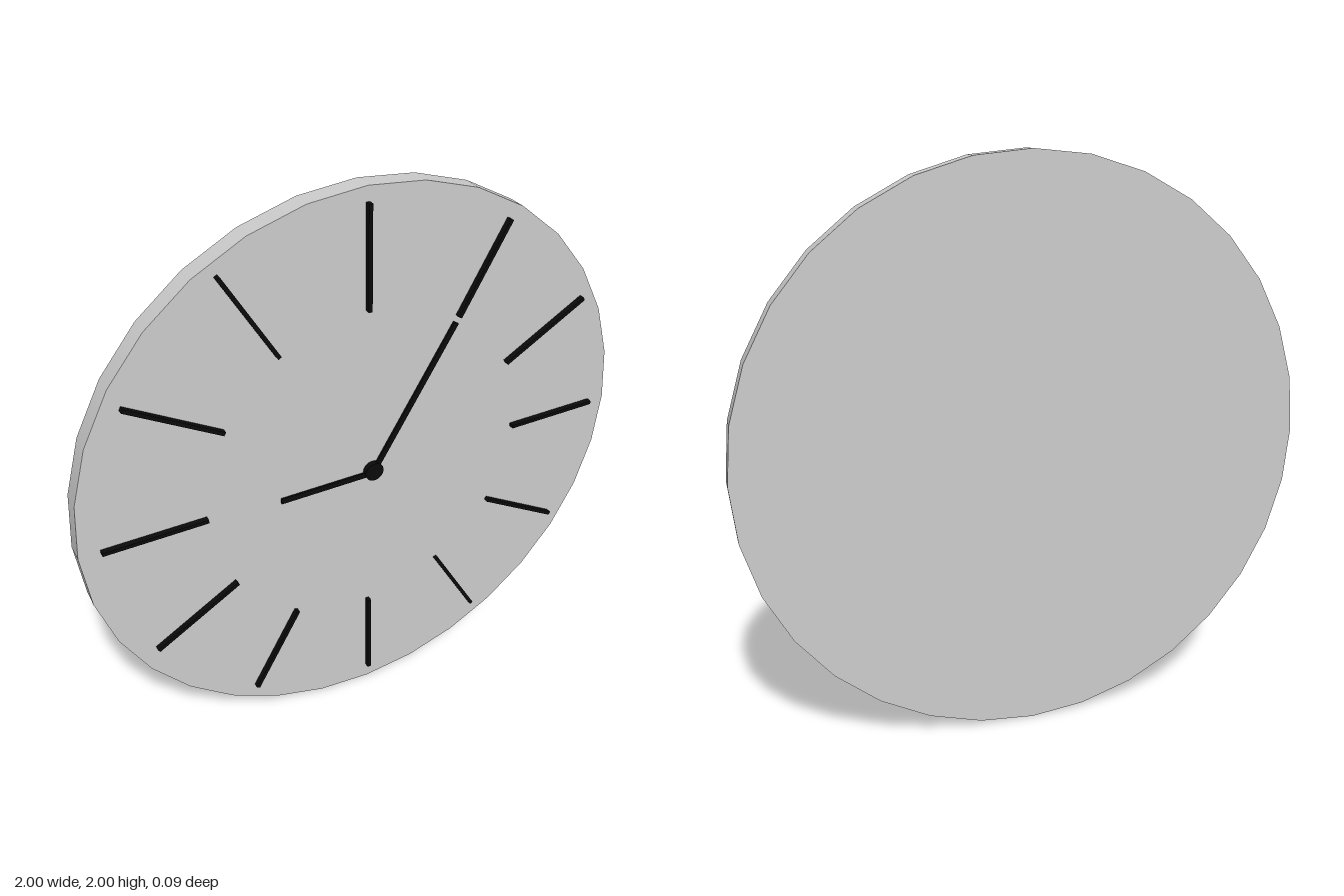
import * as THREE from 'three';

const black = new THREE.MeshStandardMaterial({ color: 0x0a0a0a });
const grey = new THREE.MeshStandardMaterial({ color: 0xcccccc });

// Flat bar lying on the dial, running between two points
function bar(name, x1, y1, x2, y2, width, zBack, zFront) {
  const length = Math.hypot(x2 - x1, y2 - y1);
  const mesh = new THREE.Mesh(new THREE.BoxGeometry(length, width, zFront - zBack), black);
  mesh.position.set((x1 + x2) / 2, (y1 + y2) / 2, (zBack + zFront) / 2);
  mesh.rotation.z = Math.atan2(y2 - y1, x2 - x1);
  mesh.name = name;
  return mesh;
}

// Round plate facing +z
function plate(name, radius, sides, x, y, zBack, zFront, material) {
  const geometry = new THREE.CylinderGeometry(radius, radius, zFront - zBack, sides).rotateX(Math.PI / 2);
  const mesh = new THREE.Mesh(geometry, material);
  mesh.position.set(x, y, (zBack + zFront) / 2);
  mesh.name = name;
  return mesh;
}

export function createModel() {
  const clock = new THREE.Group();
  clock.name = 'wallClock';

  // Dial
  clock.add(plate('dial', 1, 32, 0, 1, -0.045, 0.025, grey));

  // Hour markers, clockwise from twelve: centre of each hand-placed bar
  const centres = [
    [0, 1.777], [0.417, 1.653], [0.685, 1.363], [0.757, 1.0],
    [0.652, 0.61], [0.375, 0.346], [0, 0.237], [-0.375, 0.331],
    [-0.652, 0.619], [-0.755, 1.004], [-0.652, 1.4], [-0.395, 1.676],
  ];
  const markers = new THREE.Group();
  markers.name = 'hourMarkers';
  centres.forEach(([x, y], i) => {
    const a = (i * Math.PI) / 6;
    const dx = Math.sin(a) * 0.174, dy = Math.cos(a) * 0.174;
    markers.add(bar('hourMarker', x - dx, y - dy, x + dx, y + dy, 0.013, 0.024, 0.045));
  });
  clock.add(markers);

  // Hands and hub
  clock.add(bar('minuteHand', 0.018, 0.993, 0.319, 1.485, 0.02, 0.033, 0.041));
  clock.add(bar('hourHand', 0.018, 0.987, -0.326, 0.987, 0.02, 0.033, 0.04));
  clock.add(plate('hub', 0.034, 32, 0.018, 0.993, 0.024, 0.045, black));

  return clock;
}
